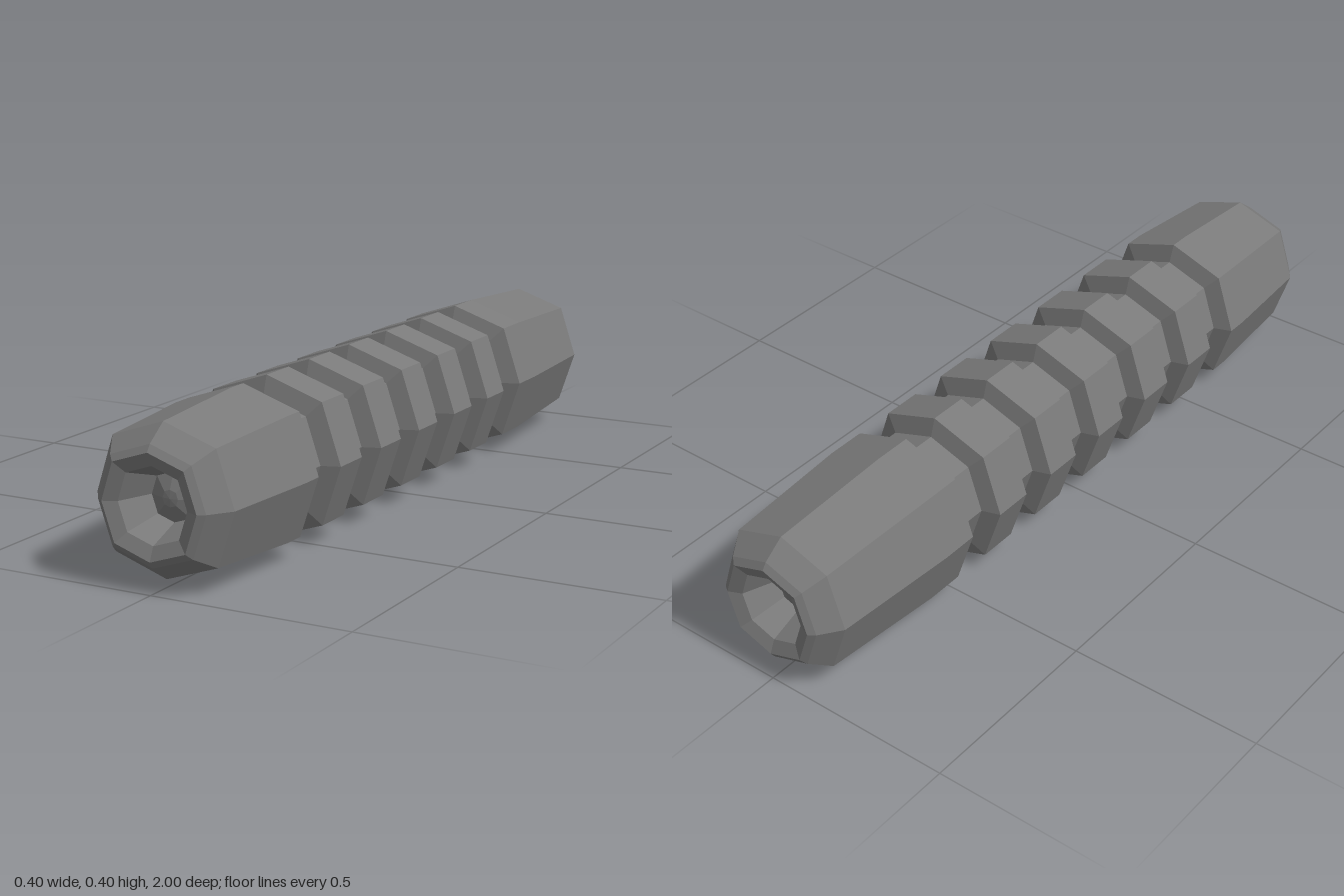
import * as THREE from 'three';

const RADIUS = 0.198;   // axis radius of the eight-sided section
const GROOVE = 0.152;
const DIAGONAL = 1.058; // diagonal corners stand out a little further

const material = new THREE.MeshStandardMaterial({ color: 0x7a7a7a, flatShading: true });

// Eight-sided turned part along z; profile is [radius, z] from back to front
function turned(name, profile) {
  const geometry = new THREE.LatheGeometry(profile.map(([r, z]) => new THREE.Vector2(r, z)), 8);
  geometry.rotateX(Math.PI / 2);
  const p = geometry.attributes.position;
  for (let i = 0; i < p.count; i++) {
    const x = p.getX(i), y = p.getY(i);
    if (Math.abs(x * y) > 1e-6) p.setXY(i, x * DIAGONAL, y * DIAGONAL);
  }
  geometry.computeVertexNormals();
  const mesh = new THREE.Mesh(geometry, material);
  mesh.name = name;
  return mesh;
}

// Chamfered end with a sloped rim, from the taper to the bottom of the recess
const endProfile = [
  [0.179, 0.935], [0.14, 0.988], [0.123, 1], [0.09, 0.985], [0.058, 0.9],
];
// Low blunt stud at the bottom of the recess
const studProfile = [[0.058, 0.9], [0.02, 0.915], [0, 0.917]];

const flipped = (profile) => profile.map(([r, z]) => [r, -z]).reverse();

export function createModel() {
  const model = new THREE.Group();
  model.name = 'ribbedHandle';

  // Tapered ends
  model.add(turned('frontEnd', [[GROOVE, 0.588], [RADIUS, 0.605], [RADIUS, 0.66], ...endProfile]));
  model.add(turned('backEnd', flipped([[GROOVE, 0.488], [RADIUS, 0.505], [RADIUS, 0.605], ...endProfile])));

  // Recessed studs
  model.add(turned('frontStud', studProfile));
  model.add(turned('backStud', flipped(studProfile)));

  // Grip with five chamfered ribs
  const grip = [[GROOVE, -0.488]];
  for (let i = 0; i < 5; i++) {
    const z = -0.35 + i * 0.2;
    grip.push([GROOVE, z - 0.066], [RADIUS, z - 0.051], [RADIUS, z + 0.051], [GROOVE, z + 0.066]);
  }
  grip.push([GROOVE, 0.588]);
  model.add(turned('ribbedGrip', grip));

  // Rest the lowest edge on the ground
  model.children.forEach((part) => { part.position.y = RADIUS; });
  return model;
}
